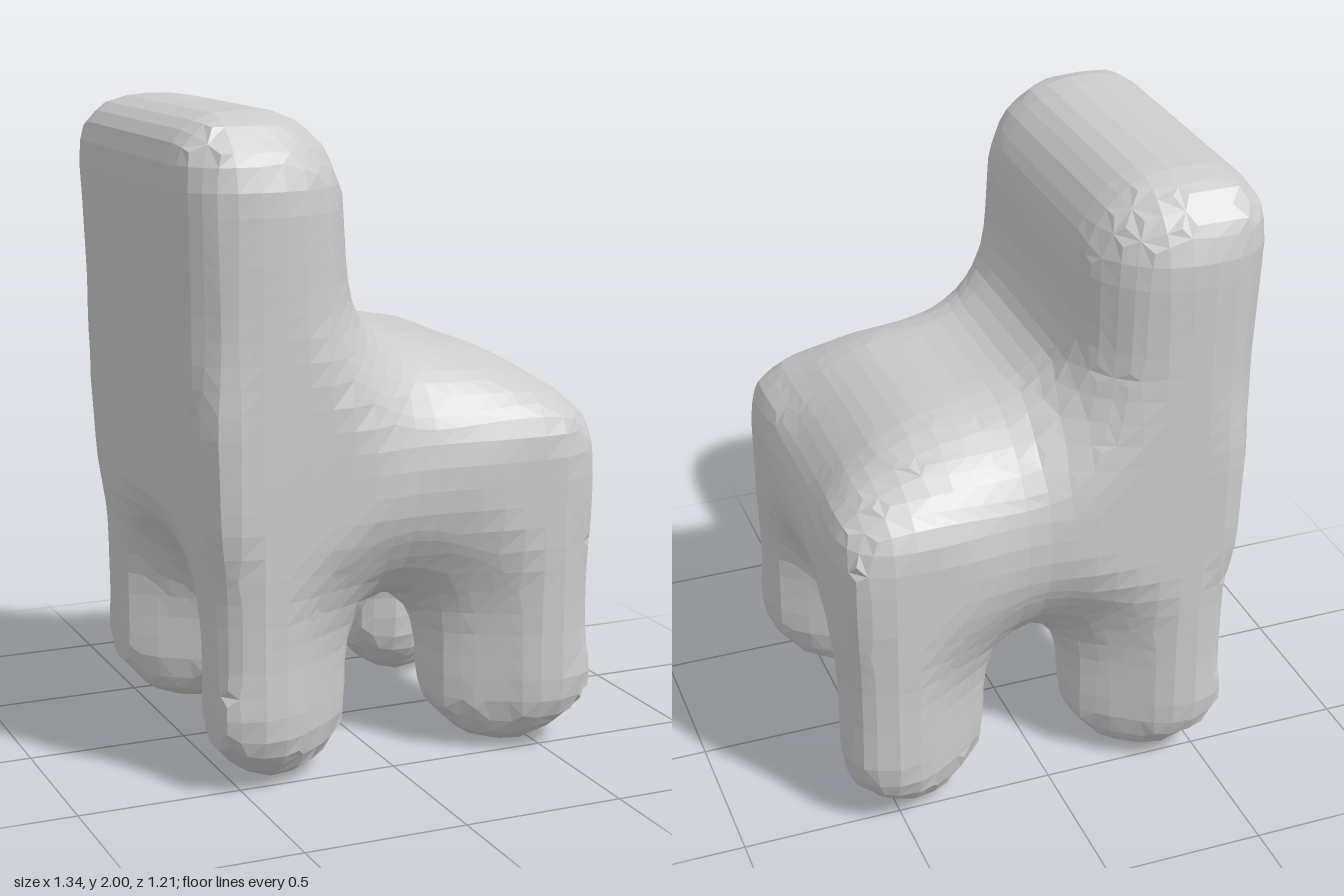
import * as THREE from 'three';

const { clamp } = THREE.MathUtils;

// Distance to a box with rounded edges: c centre, s half sizes, r edge radius
function roundBox(x, y, z, c, s, r) {
  const q = [Math.abs(x - c[0]) - s[0] + r, Math.abs(y - c[1]) - s[1] + r, Math.abs(z - c[2]) - s[2] + r];
  const out = Math.hypot(Math.max(q[0], 0), Math.max(q[1], 0), Math.max(q[2], 0));
  return out + Math.min(Math.max(q[0], q[1], q[2]), 0) - r;
}

// Union with a soft fillet of size k
function blend(a, b, k) {
  const h = Math.max(k - Math.abs(a - b), 0) / k;
  return Math.min(a, b) - h * h * k / 4;
}

// Distance to an upright leg around (cx, cz), stretched along the diagonal by
// (ax, az), with a pointed sole and a heel bump of radius bump on its outer corner
function leg(x, y, z, { cx, cz, ax, az, bump }) {
  const r = 0.163;
  const u = x - cx, v = z - cz;
  const reach = clamp(y / 0.18, 0.2, 1);
  const t = clamp((u * ax + v * az) / (ax * ax + az * az), -reach, reach);
  const post = Math.hypot(u - t * ax, y - clamp(y, r - 0.005, 1.1 - r), v - t * az) - r;
  const heel = Math.hypot(u - 1.25 * ax, y - 0.24, v - 1.5 * az) - bump;
  return blend(post, heel, 0.05);
}

const LEGS = [
  { cx: -0.345, cz: 0.385, ax: -0.085, az: 0.06, bump: 0.14 },
  { cx: -0.345, cz: -0.385, ax: -0.085, az: -0.06, bump: 0.13 },
  { cx: 0.415, cz: 0.385, ax: 0.09, az: 0.06, bump: 0.14 },
  { cx: 0.415, cz: -0.385, ax: 0.09, az: -0.06, bump: 0.11 },
];

// The chair as one soft solid; its seat faces +x
function chair(x, y, z) {
  // puffy seat, falling towards its front edge
  const slope = 0.17 * x * clamp((y - 0.5) / 0.6, 0, 1);
  let d = roundBox(x, y + slope, z, [0.03, 0.915, 0], [0.635, 0.405, 0.585], 0.38);
  // four stubby legs, running up into the corners of the seat
  d = blend(d, Math.min(...LEGS.map(l => leg(x, y, z, l))), 0.22);
  // thick backrest, leaning back, with wide rounding on its front and top corners
  const lean = x + 0.06 * (y - 1.5);
  const back = Math.max(
    roundBox(lean, y, z, [-0.385, 1.39, 0], [0.275, 0.61, 0.605], 0.2),
    roundBox(lean, y, z, [-0.71, 1.31, 0], [0.6, 0.7, 0.61], 0.27));
  d = blend(d, back, 0.24);
  // flat outer limits
  const limit = roundBox(x < 0 ? x + 0.06 * (y - 1) : x, y, z, [0.025, 1, 0], [0.645, 1, 0.605], 0.08);
  return Math.max(d, limit);
}

// Faceted skin over the zero level of a distance function
function skin(f, min, size, h) {
  const n = size.map(v => Math.ceil(v / h) + 1);
  const id = (i, j, k) => (i * n[1] + j) * n[2] + k;
  const val = new Float32Array(n[0] * n[1] * n[2]);
  const each = (m, fn) => {
    for (let i = 0; i < n[0] - m; i++)
      for (let j = 0; j < n[1] - m; j++)
        for (let k = 0; k < n[2] - m; k++) fn([i, j, k]);
  };
  const at = p => val[id(...p)];
  each(0, p => { val[id(...p)] = f(...p.map((v, a) => min[a] + v * h)); });

  // one vertex per crossed cell, at the mean of its edge crossings
  const pos = [], cell = new Map();
  each(1, p => {
    const sum = [0, 0, 0];
    let count = 0;
    for (let a = 0; a < 3; a++) for (let e = 0; e < 4; e++) {
      const q = [...p];
      q[(a + 1) % 3] += e & 1;
      q[(a + 2) % 3] += e >> 1;
      const r = [...q];
      r[a]++;
      const u = at(q), v = at(r);
      if ((u < 0) === (v < 0)) continue;
      q[a] += u / (u - v);
      for (let t = 0; t < 3; t++) sum[t] += q[t];
      count++;
    }
    if (!count) return;
    cell.set(id(...p), pos.length / 3);
    for (let t = 0; t < 3; t++) pos.push(min[t] + h * sum[t] / count);
  });

  // one quad around every crossed grid edge
  const index = [];
  each(1, p => {
    for (let a = 0; a < 3; a++) {
      const r = [...p];
      r[a]++;
      const inside = at(p) < 0;
      if (inside === (at(r) < 0)) continue;
      const quad = [[1, 1], [0, 1], [0, 0], [1, 0]].map(([b, c]) => {
        const q = [...p];
        q[(a + 1) % 3] -= b;
        q[(a + 2) % 3] -= c;
        return cell.get(id(...q));
      });
      if (!inside) quad.reverse();
      index.push(quad[0], quad[1], quad[2], quad[0], quad[2], quad[3]);
    }
  });

  const g = new THREE.BufferGeometry();
  g.setAttribute('position', new THREE.Float32BufferAttribute(pos, 3));
  g.setIndex(index);
  g.computeVertexNormals();
  return g;
}

export function createModel() {
  const group = new THREE.Group();
  group.name = 'chair';
  const mesh = new THREE.Mesh(
    skin(chair, [-0.84, -0.14, -0.77], [1.68, 2.31, 1.54], 0.07),
    new THREE.MeshStandardMaterial({ color: 0xcccccc, flatShading: true }));
  mesh.name = 'chairBody';
  group.add(mesh);
  return group;
}
